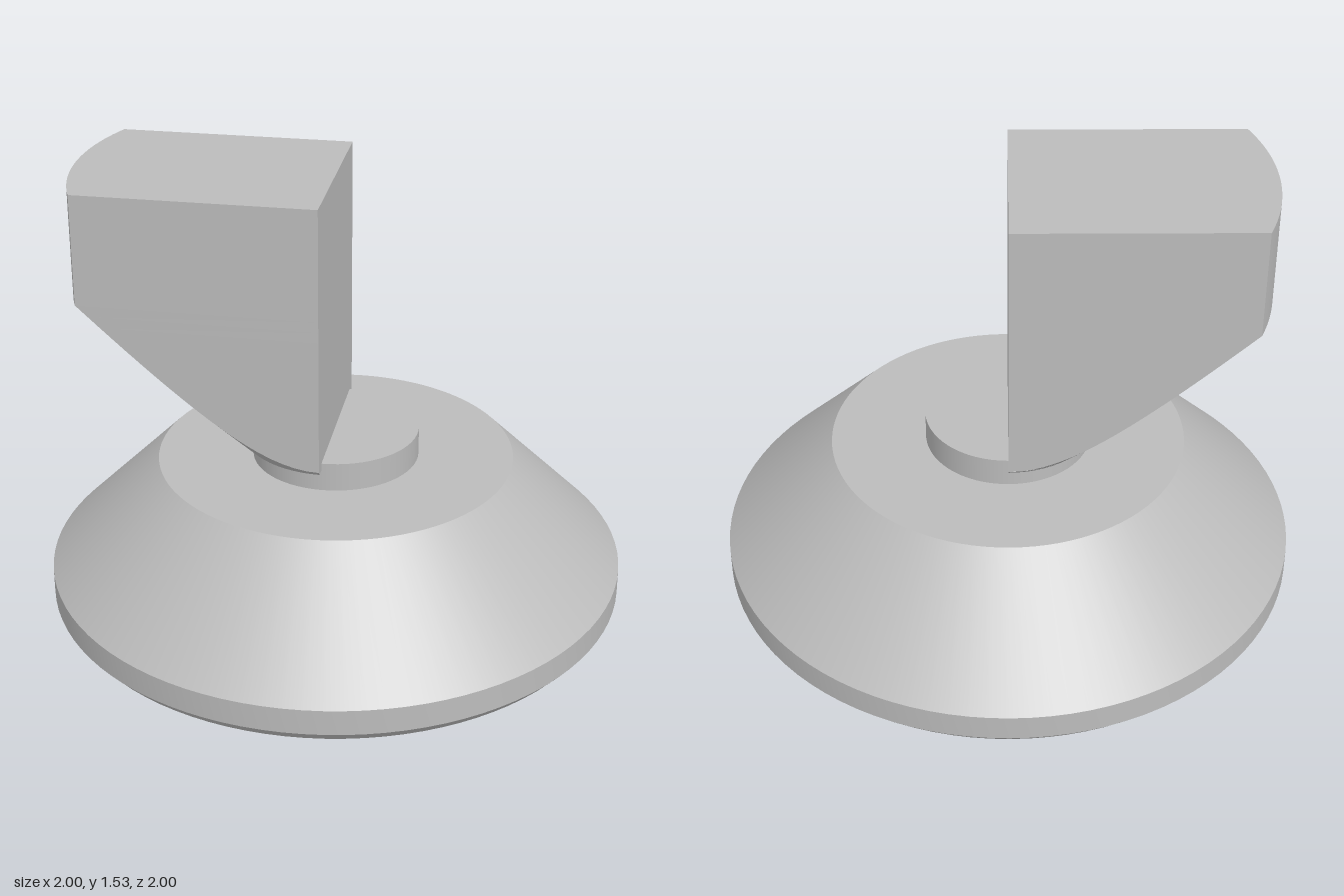
import * as THREE from 'three';
import { toCreasedNormals } from 'three/addons/utils/BufferGeometryUtils.js';

const grey = new THREE.MeshStandardMaterial({ color: 0xbcbcbc });
grey.name = 'grey';

function addMesh(parent, name, geometry) {
  const mesh = new THREE.Mesh(geometry, grey);
  mesh.name = name;
  parent.add(mesh);
}

function fromPositions(positions) {
  const g = new THREE.BufferGeometry();
  g.setAttribute('position', new THREE.Float32BufferAttribute(positions, 3));
  g.computeVertexNormals();
  return g;
}

// Side walls of a recess, facing inwards; outline is counter-clockwise in (x, z)
function recessWalls(outline, depth) {
  const pos = [];
  outline.forEach(([ax, az], i) => {
    const [bx, bz] = outline[(i + 1) % outline.length];
    pos.push(ax, 0, az, bx, 0, bz, bx, depth, bz);
    pos.push(ax, 0, az, bx, depth, bz, ax, depth, az);
  });
  return fromPositions(pos);
}

// Block clipped by a cone and cylinder around the y axis, lofted from horizontal outlines
function handleGeometry() {
  const halfWidth = 0.335, baseR = 0.32, topR = 0.87, baseY = 0.59, shoulderY = 1.15, topY = 1.53;
  const steps = 32, layers = 20;
  const ring = (r, y) => {
    const w = Math.min(halfWidth, r);
    const a = Math.asin(w / r);
    const pts = [[0, y, -w]];
    for (let i = 0; i <= steps; i++) {
      const t = a * (2 * i / steps - 1);
      pts.push([-r * Math.cos(t), y, r * Math.sin(t)]);
    }
    pts.push([0, y, w]);
    return pts;
  };
  const coneY = r => baseY + (r - baseR) / (topR - baseR) * (shoulderY - baseY);
  const rings = [ring(baseR, baseY)];
  const reach = Math.sqrt(topR ** 2 - halfWidth ** 2);
  for (let i = 0; i <= layers; i++) {
    const r = Math.hypot(halfWidth, reach * i / layers);
    rings.push(ring(r, coneY(r)));
  }
  rings.push(ring(topR, topY));

  const pos = [];
  const tri = (a, b, c) => pos.push(...a, ...b, ...c);
  for (let k = 0; k < rings.length - 1; k++) {
    const lo = rings[k], hi = rings[k + 1];
    lo.forEach((p, i) => {
      const j = (i + 1) % lo.length;
      tri(p, lo[j], hi[j]);
      tri(p, hi[j], hi[i]);
    });
  }
  const bottom = rings[0], top = rings[rings.length - 1];
  for (let i = 1; i < top.length - 1; i++) {
    tri(top[0], top[i], top[i + 1]);
    tri(bottom[0], bottom[i + 1], bottom[i]);
  }
  return toCreasedNormals(fromPositions(pos), 0.5);
}

export function createModel() {
  const model = new THREE.Group();
  model.name = 'knob';

  // Conical base with a bevelled rim
  const profile = [[0.965, 0], [1, 0.04], [1, 0.13], [0.615, 0.515], [0, 0.515]]
    .map(([r, y]) => new THREE.Vector2(r, y));
  addMesh(model, 'base', toCreasedNormals(new THREE.LatheGeometry(profile, 96), 0.5));

  // Underside with a slot and a triangular pointer mark
  const recesses = [
    { name: 'slot', depth: 0.15, outline: [[-0.58, -0.1], [0.58, -0.1], [0.58, 0.1], [-0.58, 0.1]] },
    { name: 'pointer', depth: 0.05, outline: [[-0.677, -0.133], [-0.677, 0.133], [-0.91, 0]] },
  ];
  const underside = new THREE.Group();
  underside.name = 'underside';
  model.add(underside);
  const disc = new THREE.Shape().absarc(0, 0, 0.965, 0, Math.PI * 2);
  for (const { name, depth, outline } of recesses) {
    const points = outline.map(([x, z]) => new THREE.Vector2(x, z));
    disc.holes.push(new THREE.Path(points));
    addMesh(underside, name + 'Walls', recessWalls(outline, depth));
    addMesh(underside, name + 'Floor',
      new THREE.ShapeGeometry(new THREE.Shape(points)).rotateX(Math.PI / 2).translate(0, depth, 0));
  }
  addMesh(underside, 'bottomFace', new THREE.ShapeGeometry(disc, 96).rotateX(Math.PI / 2));

  // Short neck and the offset handle above it
  addMesh(model, 'neck', new THREE.CylinderGeometry(0.287, 0.287, 0.1, 64).translate(0, 0.565, 0));
  addMesh(model, 'handle', handleGeometry());

  return model;
}
